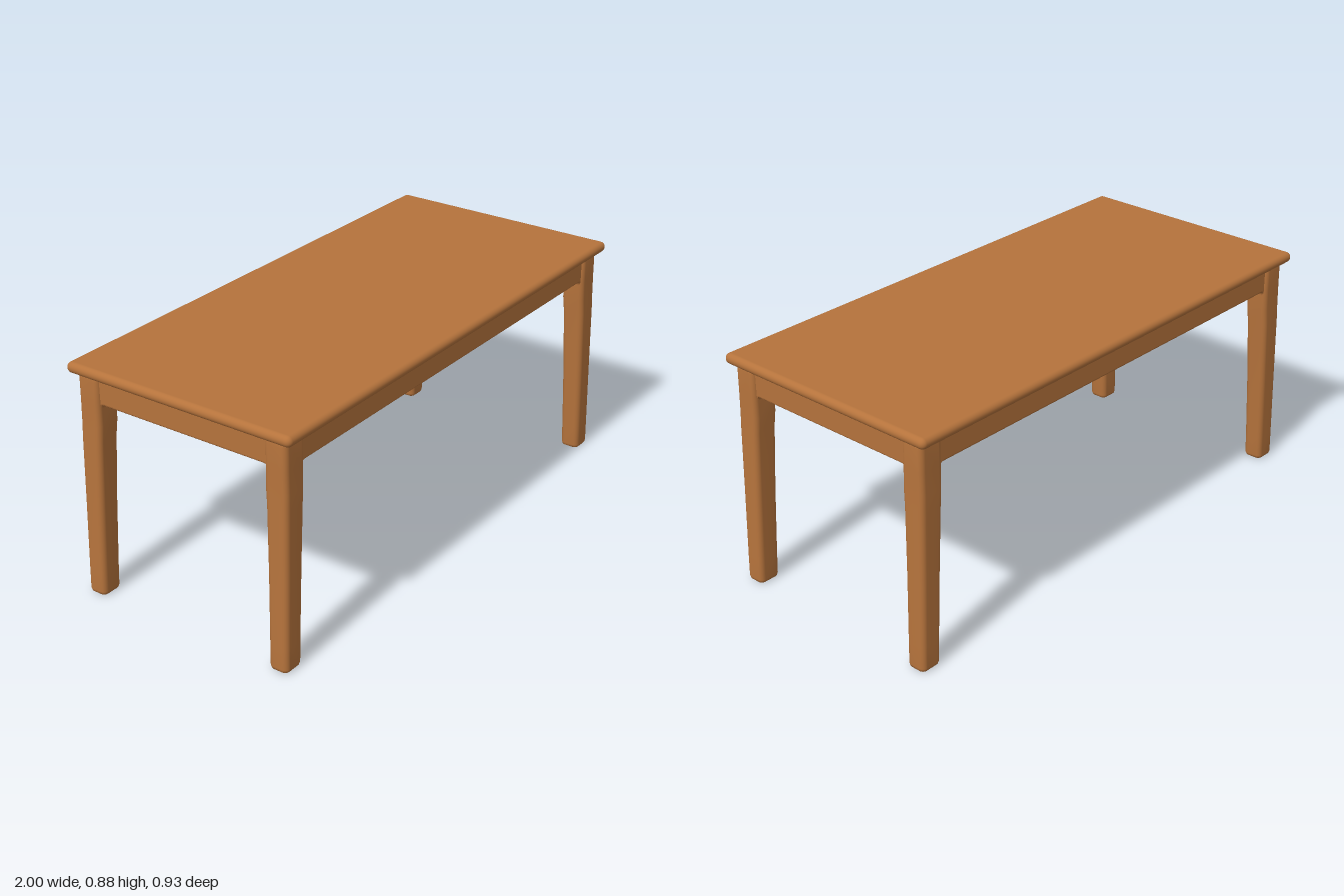
import * as THREE from 'three';
import { RoundedBoxGeometry } from 'three/addons/geometries/RoundedBoxGeometry.js';

// Rings of a leg from foot to top: y, inner x, outer x, inner z, outer z, corner radius
const LEG_RINGS = [
  [0, 0.925, 0.99, 0.372, 0.427, 0.012],
  [0.004, 0.918, 0.997, 0.366, 0.434, 0.016],
  [0.015, 0.914, 1.0, 0.362, 0.438, 0.02],
  [0.1, 0.911, 0.998, 0.361, 0.438, 0.02],
  [0.35, 0.9, 0.99, 0.357, 0.438, 0.02],
  [0.6, 0.887, 0.983, 0.351, 0.438, 0.02],
  [0.66, 0.882, 0.981, 0.347, 0.437, 0.02],
  [0.74, 0.88, 0.98, 0.348, 0.436, 0.02],
  [0.825, 0.88, 0.979, 0.348, 0.436, 0.02],
  [0.85, 0.885, 0.974, 0.353, 0.431, 0.02],
];

// Rounded, tapered leg lofted through the rings and mirrored to its corner
function legGeometry(sx, sz) {
  const steps = 5, n = 4 * (steps + 1), pos = [], idx = [];
  const tri = (a, b, c) => (sx * sz > 0 ? idx.push(a, b, c) : idx.push(a, c, b));
  for (const [y, x0, x1, z0, z1, r] of LEG_RINGS) {
    for (let c = 0; c < 4; c++) {
      const cx = c === 0 || c === 3 ? x1 - r : x0 + r;
      const cz = c < 2 ? z1 - r : z0 + r;
      for (let k = 0; k <= steps; k++) {
        const a = (c + k / steps) * Math.PI / 2;
        pos.push(sx * (cx + r * Math.cos(a)), y, sz * (cz + r * Math.sin(a)));
      }
    }
  }
  const last = LEG_RINGS.length - 1;
  for (let j = 0; j < last; j++) {
    for (let i = 0; i < n; i++) {
      const a = j * n + i, b = j * n + (i + 1) % n;
      tri(a, a + n, b);
      tri(b, a + n, b + n);
    }
  }
  // Close foot and top
  for (let i = 1; i < n - 1; i++) {
    tri(0, i, i + 1);
    tri(last * n, last * n + i + 1, last * n + i);
  }
  const g = new THREE.BufferGeometry();
  g.setAttribute('position', new THREE.Float32BufferAttribute(pos, 3));
  g.setIndex(idx);
  g.computeVertexNormals();
  return g;
}

// Rail whose lower edge curves down into the legs; half is the clear half span
function apronGeometry(half) {
  const bottom = 0.74, top = 0.845, f = 0.014, end = half + 0.03, thick = 0.05, bevel = 0.008;
  const s = new THREE.Shape();
  s.moveTo(-end, top);
  s.lineTo(-end, bottom - f);
  s.lineTo(-half, bottom - f);
  s.quadraticCurveTo(-half, bottom, -half + f, bottom);
  s.lineTo(half - f, bottom);
  s.quadraticCurveTo(half, bottom, half, bottom - f);
  s.lineTo(end, bottom - f);
  s.lineTo(end, top);
  s.closePath();
  const g = new THREE.ExtrudeGeometry(s, {
    depth: thick - 2 * bevel, bevelThickness: bevel, bevelSize: bevel,
    bevelOffset: -bevel, bevelSegments: 3, curveSegments: 6,
  });
  g.translate(0, 0, bevel - thick);
  return g;
}

export function createModel() {
  const table = new THREE.Group();
  table.name = 'table';
  const wood = new THREE.MeshStandardMaterial({ color: 0xb5733c });
  wood.name = 'warm wood';

  const add = (name, geometry) => {
    const mesh = new THREE.Mesh(geometry, wood);
    mesh.name = name;
    table.add(mesh);
    return mesh;
  };

  // Top with a bullnose edge
  add('tableTop', new RoundedBoxGeometry(2, 0.04, 0.934, 5, 0.0198)).position.y = 0.86;

  // Four legs
  for (const sz of [1, -1]) {
    for (const sx of [1, -1]) {
      add(`${sz > 0 ? 'front' : 'back'}${sx > 0 ? 'Left' : 'Right'}Leg`, legGeometry(sx, sz));
    }
  }

  // Aprons, slightly recessed between the legs
  const aprons = [
    ['frontApron', 0.88, 0, 0.426, 0],
    ['backApron', 0.88, 0, -0.426, Math.PI],
    ['leftApron', 0.348, 0.966, 0, Math.PI / 2],
    ['rightApron', 0.348, -0.966, 0, -Math.PI / 2],
  ];
  for (const [name, half, x, z, turn] of aprons) {
    const apron = add(name, apronGeometry(half));
    apron.position.set(x, 0, z);
    apron.rotation.y = turn;
  }
  return table;
}
